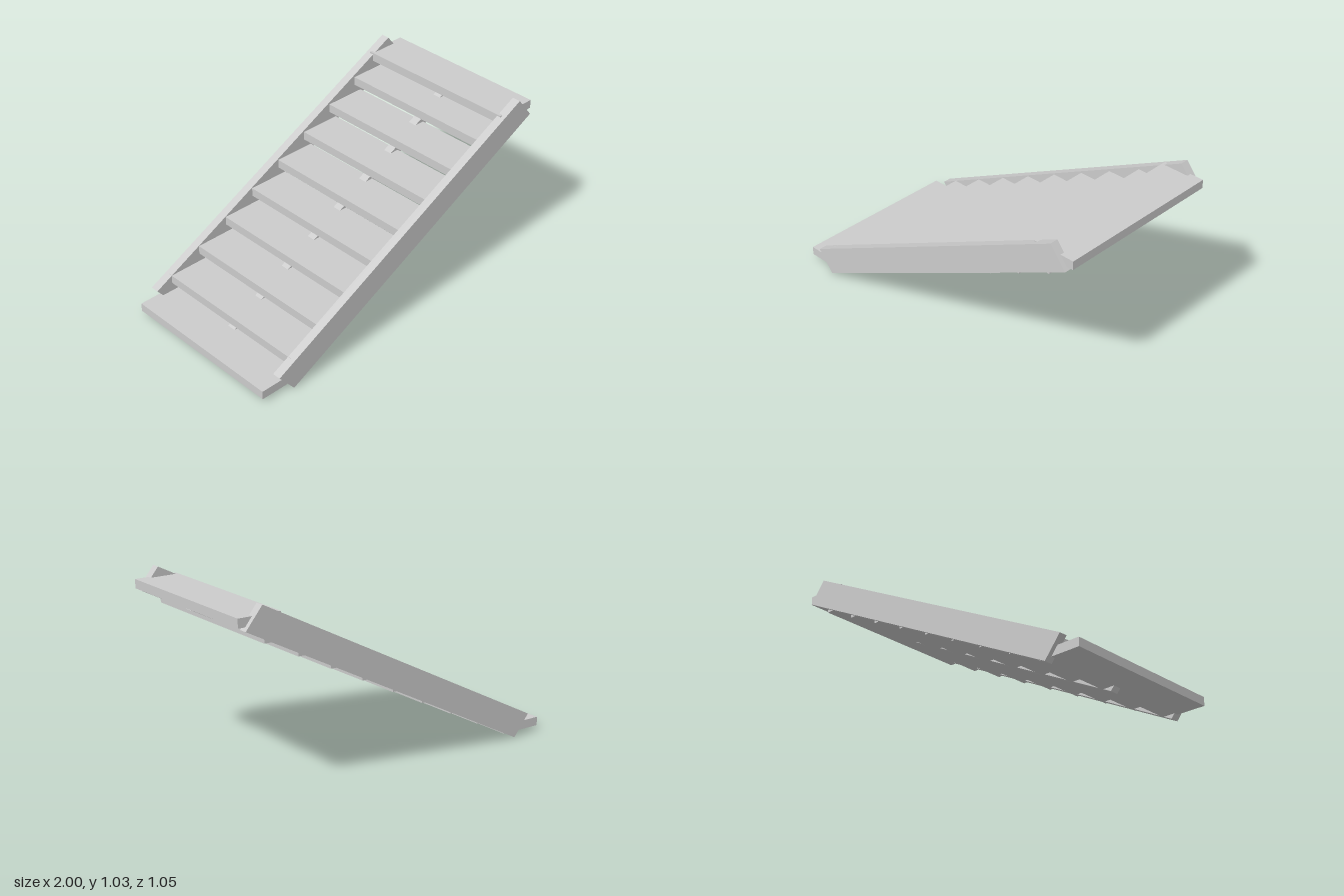
import * as THREE from 'three';

export function createModel() {
  const model = new THREE.Group();
  model.name = 'staircase';
  const material = new THREE.MeshStandardMaterial({ color: 0xcccccc, flatShading: true });

  // Sloping beam with slanted ends; depth is the share of the full side-beam depth
  function addStringer(name, z, depth) {
    const dx = -0.098 * depth, dy = 0.121 * depth;
    const profile = new THREE.Shape([
      new THREE.Vector2(-0.806, 0),
      new THREE.Vector2(0.972, 0.909),
      new THREE.Vector2(0.972 + dx, 0.909 + dy),
      new THREE.Vector2(-0.806 + dx, dy),
    ]);
    const geometry = new THREE.ExtrudeGeometry(profile, { depth: 0.05, bevelEnabled: false });
    geometry.translate(0, 0, z - 0.025);
    const mesh = new THREE.Mesh(geometry, material);
    mesh.name = name;
    model.add(mesh);
  }
  addStringer('frontStringer', 0.5, 1);
  addStringer('backStringer', -0.5, 1);
  addStringer('centreStringer', 0, 0.36);

  // Treads overlap in plan; the top one is pulled in slightly
  const treadGeometry = new THREE.BoxGeometry(0.25, 0.05, 1);
  for (let i = 0; i < 10; i++) {
    const tread = new THREE.Mesh(treadGeometry, material);
    tread.name = `tread${i + 1}`;
    tread.position.set(Math.min(-0.875 + 0.2 * i, 0.875), 0.05 + 0.1 * i, 0);
    model.add(tread);
  }
  return model;
}
